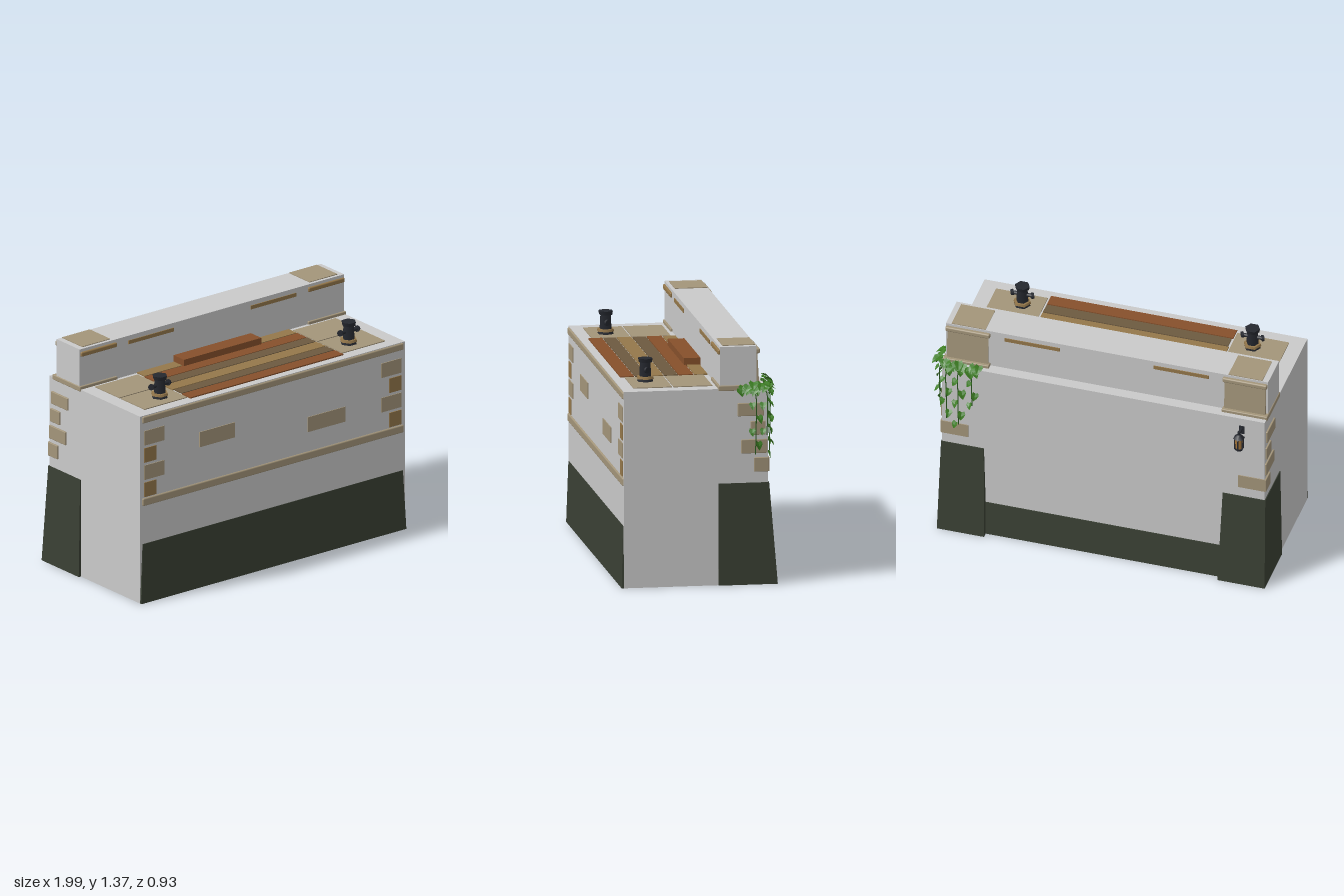
import * as THREE from 'three';
import { RoundedBoxGeometry } from 'three/addons/geometries/RoundedBoxGeometry.js';

const mat = (name, color, extra = {}) => Object.assign(new THREE.MeshStandardMaterial({ color, ...extra }), { name });

export function createModel() {
  const root = new THREE.Group();
  root.name = 'wallSection';
  const M = {
    plaster: mat('plaster', 0xcacaca),
    plinth: mat('darkPlinth', 0x3a4034),
    stone: mat('tanStone', 0xa3957a),
    ochre: mat('ochreWood', 0x94774a),
    rust: mat('rustWood', 0x86502b),
    brown: mat('brownWood', 0x6d5a40),
    iron: mat('iron', 0x25282f),
    amber: mat('amberGlass', 0xa8783c),
    leaf: mat('leaf', 0x3c7d22, { side: THREE.DoubleSide }),
    stem: mat('stem', 0x2c5a20),
  };
  const add = (name, geo, m, parent = root) => {
    const mesh = new THREE.Mesh(geo, m);
    mesh.name = name;
    parent.add(mesh);
    return mesh;
  };
  // box given by its limits, optionally with rounded edges
  const box = (name, m, x0, x1, y0, y1, z0, z1, r = 0) => {
    const s = [x1 - x0, y1 - y0, z1 - z0];
    const geo = r ? new RoundedBoxGeometry(...s, 2, r) : new THREE.BoxGeometry(...s);
    return add(name, geo.translate((x0 + x1) / 2, (y0 + y1) / 2, (z0 + z1) / 2), m);
  };
  // box with separate limits [x0, x1, z0, z1] for its bottom and top
  const taper = (name, m, y0, y1, bot, top) => {
    const geo = new THREE.BoxGeometry(1, 1, 1);
    const p = geo.attributes.position;
    for (let i = 0; i < p.count; i++) {
      const c = p.getY(i) > 0 ? top : bot;
      p.setXYZ(i, p.getX(i) > 0 ? c[1] : c[0], p.getY(i) > 0 ? y1 : y0, p.getZ(i) > 0 ? c[3] : c[2]);
    }
    geo.computeVertexNormals();
    return add(name, geo, m);
  };
  const CX = -0.033; // middle of the wall
  const mirrorX = (a, b, s) => (s < 0 ? [a, b] : [2 * CX - b, 2 * CX - a]);

  // wall and parapet
  box('wallBody', M.plaster, -0.985, 0.92, 0, 1.13, -0.375, 0.45);
  box('parapet', M.plaster, -0.985, 0.917, 1.13, 1.37, -0.31, -0.1);

  // plinths
  taper('frontPlinth', M.plinth, 0, 0.355, [-0.985, 0.92, 0.3, 0.463], [-0.968, 0.903, 0.3, 0.453]);
  taper('backPlinth', M.plinth, 0, 0.21, [-0.8, 0.74, -0.395, -0.3], [-0.8, 0.74, -0.38, -0.3]);

  // front mouldings and loose stones
  box('lowerTrim', M.stone, -0.97, 0.908, 0.585, 0.632, 0.43, 0.459, 0.008);
  box('upperTrim', M.stone, -0.97, 0.908, 1.085, 1.126, 0.43, 0.459, 0.008);
  box('frontStone', M.stone, -0.56, -0.305, 0.845, 0.936, 0.44, 0.455);
  box('frontStone', M.stone, 0.22, 0.487, 0.75, 0.84, 0.44, 0.455);

  for (const s of [-1, 1]) {
    // corner buttress
    taper('buttress', M.plinth, 0, 0.585,
      [...mirrorX(-1.0, -0.722, s), -0.428, -0.09], [...mirrorX(-0.99, -0.738, s), -0.38, -0.09]);

    // front corner stones, long and short in turn
    for (let i = 0; i < 4; i++) {
      const y = 0.95 - i * 0.104;
      box('cornerStone', i % 2 ? M.ochre : M.stone, ...mirrorX(-0.957, i % 2 ? -0.872 : -0.813, s), y, y + 0.087, 0.44, 0.455);
    }
    // side corner stones near the back
    for (const [z0, z1, y0, y1] of [[-0.35, -0.2, 0.97, 1.045], [-0.36, -0.274, 0.86, 0.94],
      [-0.37, -0.22, 0.755, 0.835], [-0.379, -0.293, 0.648, 0.73]])
      box('sideStone', M.stone, ...mirrorX(-0.995, -0.97, s), y0, y1, z0, z1, 0.004);
    box('backStone', M.stone, ...mirrorX(-0.99, -0.83, s), 0.648, 0.73, -0.381, -0.36);

    // parapet end pillar
    box('pillarLedge', M.stone, ...mirrorX(-0.99, -0.72, s), 1.117, 1.148, -0.345, -0.09, 0.005);
    taper('pillarBack', M.stone, 1.148, 1.33,
      [...mirrorX(-0.972, -0.73, s), -0.326, -0.3], [...mirrorX(-0.972, -0.73, s), -0.315, -0.3]);
    box('pillarFrontTrim', M.ochre, ...mirrorX(-0.98, -0.722, s), 1.326, 1.353, -0.12, -0.088, 0.007);
    box('pillarBackTrim', M.stone, ...mirrorX(-0.982, -0.72, s), 1.326, 1.355, -0.33, -0.3, 0.008);
    box('pillarCap', M.stone, ...mirrorX(-0.95, -0.75, s), 1.36, 1.374, -0.306, -0.12);

    // slim strips on both parapet faces
    box('parapetStrip', M.ochre, ...mirrorX(-0.636, -0.31, s), 1.32, 1.342, -0.315, -0.095);

    // paving beside the deck
    for (const z of [-0.07, 0.16])
      box('pavingSlab', M.stone, ...mirrorX(-0.898, -0.592, s), 1.125, 1.135, z, z + 0.221);
  }

  // plank deck and step
  [[M.ochre, -0.095, -0.022], [M.rust, -0.015, 0.068], [M.brown, 0.074, 0.15],
    [M.ochre, 0.157, 0.24], [M.brown, 0.247, 0.318], [M.rust, 0.325, 0.403]].forEach(([m, z0, z1], i) =>
    box('plank', m, i % 2 ? -0.585 : -0.578, 0.514, 1.12, 1.137, z0, z1));
  box('step', M.rust, -0.31, 0.246, 1.13, 1.175, -0.1, -0.005);

  // iron mooring posts
  const hex = (name, m, r0, r1, h, y, g) =>
    add(name, new THREE.CylinderGeometry(r1, r0, h, 6).toNonIndexed(), m, g).position.set(0, y, 0);
  for (const x of [-0.712, 0.647]) {
    const g = new THREE.Group();
    g.name = 'post';
    g.position.set(x, 1.13, 0.283);
    g.rotation.y = Math.PI / 6;
    hex('postFoot', M.iron, 0.05, 0.044, 0.02, 0.01, g);
    hex('postRing', M.ochre, 0.052, 0.048, 0.014, 0.027, g);
    hex('postColumn', M.iron, 0.036, 0.031, 0.09, 0.077, g);
    hex('postCap', M.iron, 0.04, 0.044, 0.022, 0.126, g);
    const bar = add('postBar', new THREE.CylinderGeometry(0.011, 0.011, 0.12, 8).rotateZ(Math.PI / 2), M.iron, g);
    bar.position.y = 0.078;
    bar.rotation.y = -Math.PI / 6;
    for (const s of [-1, 1]) {
      const knob = add('barKnob', new THREE.CylinderGeometry(0.018, 0.018, 0.014, 8).rotateZ(Math.PI / 2), M.iron, g);
      knob.position.set(s * 0.06 * Math.cos(Math.PI / 6), 0.078, s * 0.06 * Math.sin(Math.PI / 6));
    }
    root.add(g);
  }

  // lantern on a bracket behind the wall
  const lamp = new THREE.Group();
  lamp.name = 'lantern';
  lamp.position.set(-0.85, 0.955, -0.43);
  hex('lanternBase', M.iron, 0.024, 0.028, 0.012, 0.006, lamp);
  hex('lanternGlass', M.amber, 0.02, 0.025, 0.075, 0.045, lamp);
  hex('lanternRoof', M.iron, 0.034, 0.012, 0.024, 0.092, lamp);
  hex('lanternTop', M.iron, 0.009, 0.009, 0.02, 0.112, lamp);
  for (let i = 0; i < 6; i++) {
    const a = (i * Math.PI) / 3;
    add('lanternBar', new THREE.BoxGeometry(0.006, 0.078, 0.006), M.iron, lamp)
      .position.set(Math.sin(a) * 0.025, 0.045, Math.cos(a) * 0.025);
  }
  add('bracketArm', new THREE.BoxGeometry(0.014, 0.012, 0.065), M.iron, lamp).position.set(0, 0.112, 0.028);
  add('bracketPlate', new THREE.BoxGeometry(0.03, 0.05, 0.01), M.iron, lamp).position.set(0, 0.1, 0.053);
  root.add(lamp);

  // ivy leaf: folded along its midrib, tip pointing down
  const leafGeo = new THREE.BufferGeometry();
  const pts = [0, 0, 0, 0, -0.5, 0.05, 0, -1, -0.08];
  for (const s of [-1, 1]) pts.push(s * 0.3, 0.14, 0.1, s * 0.46, -0.22, 0.16, s * 0.28, -0.62, 0.08);
  leafGeo.setAttribute('position', new THREE.Float32BufferAttribute(pts, 3));
  leafGeo.setIndex([0, 3, 4, 0, 4, 1, 1, 4, 5, 1, 5, 2, 0, 7, 6, 0, 1, 7, 1, 8, 7, 1, 2, 8]);
  const leafFlat = leafGeo.toNonIndexed();
  leafFlat.computeVertexNormals();
  let seed = 7;
  const rnd = () => (seed = (seed * 16807) % 2147483647) / 2147483647;
  const ivy = new THREE.Group();
  ivy.name = 'ivy';
  const leaf = (x, y, z, turn, tilt, size) => {
    const l = add('ivyLeaf', leafFlat, M.leaf, ivy);
    l.position.set(x, y, z);
    l.rotation.set(-tilt, turn, (rnd() - 0.5) * 0.8, 'YXZ');
    l.scale.setScalar(size);
  };
  // hanging strands: start x, z, lowest y, facing angle
  const strands = [[0.935, -0.3, 0.75, Math.PI / 2], [0.935, -0.365, 0.86, Math.PI / 2],
    [0.89, -0.386, 0.76, Math.PI], [0.82, -0.386, 0.73, Math.PI], [0.74, -0.386, 0.88, Math.PI]];
  for (const [x, z, low, turn] of strands) {
    const path = new THREE.CatmullRomCurve3([new THREE.Vector3(x - 0.02, 1.14, z + 0.02), new THREE.Vector3(x, 1.1, z),
      new THREE.Vector3(x, (1.1 + low) / 2, z - 0.004), new THREE.Vector3(x, low, z)]);
    add('ivyStem', new THREE.TubeGeometry(path, 12, 0.003, 4), M.stem, ivy);
    for (let y = 1.12, k = 1; y > low; y -= 0.075, k = -k) {
      const d = k * (0.008 + rnd() * 0.012);
      leaf(x + d * Math.cos(turn), y, z - d * Math.sin(turn), turn + k * 0.4, 0.3 + rnd() * 0.5, 0.038 + rnd() * 0.016);
    }
  }
  leaf(0.935, 1.13, -0.21, Math.PI / 2, 0.4, 0.05);
  // crown of leaves over the ledge
  for (let i = 0; i < 26; i++) {
    const t = i / 25;
    const back = t < 0.6;
    const x = back ? 0.7 + t * 0.38 : 0.93 + rnd() * 0.015;
    const z = back ? -0.36 - rnd() * 0.02 : -0.38 + (t - 0.6) * 0.38;
    leaf(x, 1.13 + rnd() * 0.035, z, (back ? Math.PI : Math.PI / 2) + (rnd() - 0.5) * 1.2, 0.6 + rnd() * 0.6, 0.05 + rnd() * 0.015);
  }
  root.add(ivy);
  return root;
}
